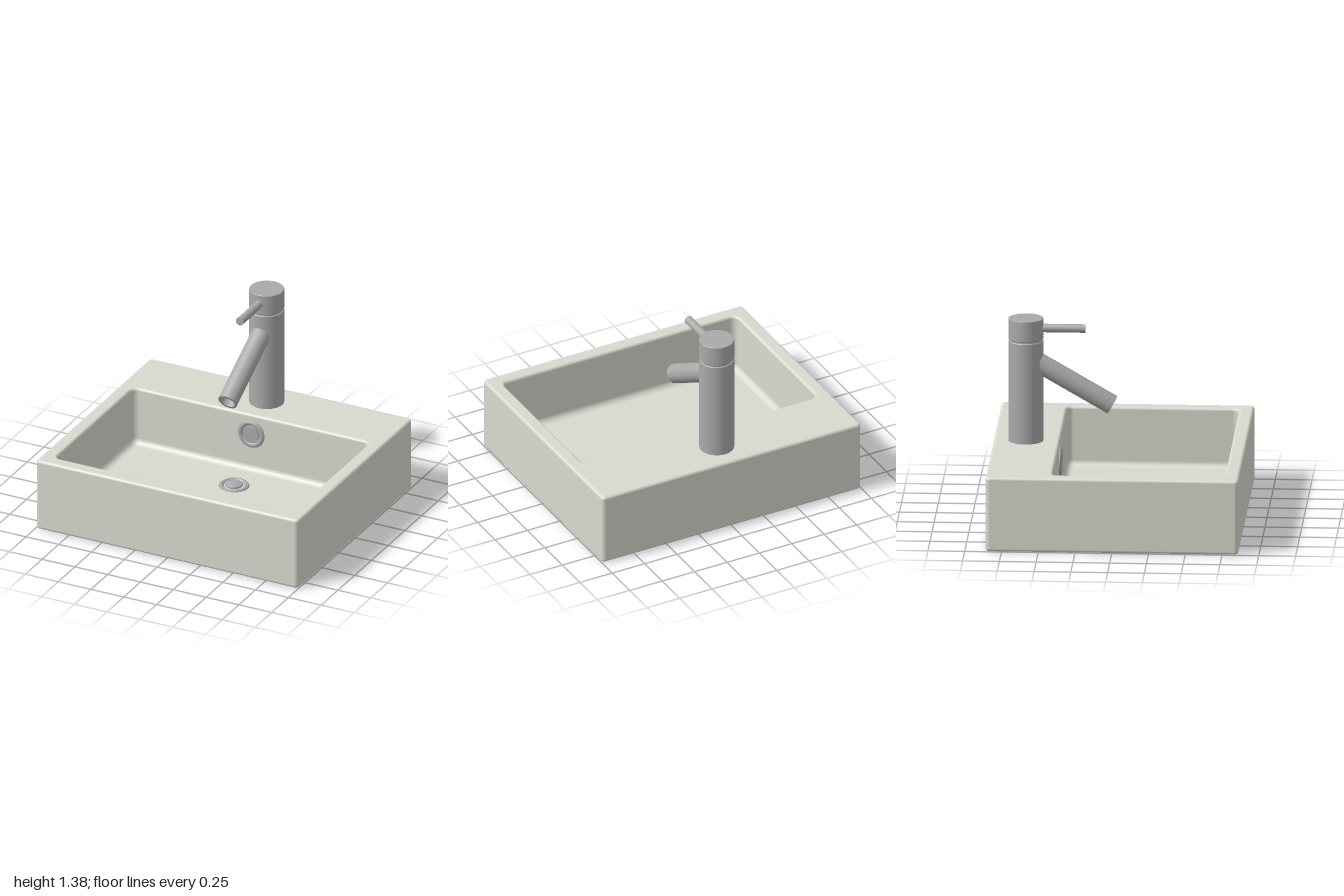
import * as THREE from 'three';

const ceramic = new THREE.MeshStandardMaterial({ color: 0xdad9cf });
const metal = new THREE.MeshStandardMaterial({ color: 0xaaaaaa });

const FLOOR = 0.1, TOP = 0.52, DRAIN_Z = -0.15;
const FAUCET_Z = -0.64;

function add(parent, name, geometry, material, x = 0, y = 0, z = 0) {
  const mesh = new THREE.Mesh(geometry, material);
  mesh.name = name;
  mesh.position.set(x, y, z);
  parent.add(mesh);
  return mesh;
}

// Lathe whose profile corners stay sharp: each straight run is its own strip.
function turned(parent, name, runs, material, x, y, z, segments = 48) {
  const group = new THREE.Group();
  group.name = name;
  group.position.set(x, y, z);
  runs.forEach((run, i) => add(group, `${name}Surface${i + 1}`,
    new THREE.LatheGeometry(run.map(p => new THREE.Vector2(...p)), segments), material));
  parent.add(group);
  return group;
}

// Splits a profile into single straight runs.
const sharp = points => points.slice(1).map((p, i) => [points[i], p]);

// Skin through rounded-rectangle rings, with normals taken from the profile.
function loftRings(rings, steps = 8) {
  const pos = [], nor = [], index = [];
  const n = 4 * (steps + 1);
  for (const { hw, hd, cz, r, y, nr, ny } of rings) {
    for (let q = 0; q < 4; q++) {
      const sx = q === 0 || q === 3 ? 1 : -1, sz = q < 2 ? 1 : -1;
      for (let k = 0; k <= steps; k++) {
        const t = (q + k / steps) * Math.PI / 2, c = Math.cos(t), s = Math.sin(t);
        pos.push(sx * (hw - r) + r * c, y, cz + sz * (hd - r) + r * s);
        nor.push(c * nr, ny, s * nr);
      }
    }
  }
  for (let j = 0; j < rings.length - 1; j++) {
    for (let i = 0; i < n; i++) {
      const a = j * n + i, b = j * n + (i + 1) % n;
      index.push(a, a + n, b, b, a + n, b + n);
    }
  }
  const g = new THREE.BufferGeometry();
  g.setAttribute('position', new THREE.Float32BufferAttribute(pos, 3));
  g.setAttribute('normal', new THREE.Float32BufferAttribute(nor, 3));
  g.setIndex(index);
  return g;
}

function basinGeometry() {
  const outer = { hw: 1, hd: 0.86, cz: 0, r: 0.03 };
  const bowl = { hw: 0.9, hd: 0.585, cz: 0.175, r: 0.045 };
  const hole = { hw: 0.055, hd: 0.055, cz: DRAIN_Z, r: 0.055 };
  // Quarter-round edge: rectangle grown by "grow", swept from angle a0 to a1.
  const edge = (rect, grow, yc, R, a0, a1, sign) => Array.from({ length: 7 }, (_, i) => {
    const a = (a0 + (a1 - a0) * i / 6) * Math.PI / 180;
    const d = grow + R * Math.cos(a);
    return {
      hw: rect.hw + d, hd: rect.hd + d, cz: rect.cz, r: Math.max(rect.r + d, 0.002),
      y: yc + R * Math.sin(a), nr: sign * Math.cos(a), ny: sign * Math.sin(a),
    };
  });
  const R = 0.02, F = 0.045;
  return loftRings([
    { ...hole, y: 0, nr: 0, ny: -1 },
    ...edge(outer, -R, R, R, -90, 0, 1),            // lower outside edge
    ...edge(outer, -R, TOP - R, R, 0, 90, 1),       // upper outside edge
    ...edge(bowl, R, TOP - R, R, 90, 180, 1),       // rim into the bowl
    ...edge(bowl, -F, FLOOR + F, F, 0, -90, -1),    // wall into the floor
    { ...hole, y: FLOOR, nr: 0, ny: 1 },
    { ...hole, y: FLOOR, nr: -1, ny: 0 },           // drain bore
    { ...hole, y: 0, nr: -1, ny: 0 },
  ]);
}

export function createModel() {
  const model = new THREE.Group();
  model.name = 'washbasinWithTap';

  add(model, 'basin', basinGeometry(), ceramic);

  // Drain: flange on the floor, sleeve through the bore, stopper and stem
  const drain = new THREE.Group();
  drain.name = 'drain';
  drain.position.set(0, FLOOR, DRAIN_Z);
  model.add(drain);
  turned(drain, 'drainFlange', sharp([
    [0.052, -0.098], [0.052, -0.001], [0.105, 0], [0.1, 0.01], [0.083, 0.012],
    [0.075, 0.003], [0.045, -0.01], [0.045, -0.098], [0.052, -0.098],
  ]), metal, 0, 0, 0);
  turned(drain, 'drainStopper', [
    [[0, 0.004], [0.06, 0.004]],
    [[0.06, 0.004], [0.06, 0.014]],
    [[0.06, 0.014], [0.054, 0.02], [0.03, 0.023], [0, 0.024]],
  ], metal, 0, 0, 0);
  add(drain, 'stopperStem', new THREE.CylinderGeometry(0.015, 0.015, 0.1, 20), metal, 0, -0.046, 0);

  // Overflow cover on the back wall of the bowl
  const overflow = new THREE.Group();
  overflow.name = 'overflow';
  overflow.position.set(0, 0.375, -0.41);
  overflow.rotation.x = Math.PI / 2;
  model.add(overflow);
  turned(overflow, 'overflowRing', [
    [[0.1, -0.002], [0.1, 0.006]],
    [[0.1, 0.006], [0.095, 0.013], [0.085, 0.016], [0.075, 0.013]],
    [[0.075, 0.013], [0.068, 0.003]],
    [[0.068, 0.003], [0, 0.003]],
  ], metal, 0, 0, 0);
  add(overflow, 'overflowCap', new THREE.CylinderGeometry(0.058, 0.058, 0.012, 40), metal, 0, 0.008, 0);

  // Tap column and turning cap, separated by a narrow groove
  const tap = new THREE.Group();
  tap.name = 'tap';
  tap.position.z = FAUCET_Z;
  model.add(tap);
  turned(tap, 'tapColumn', sharp([
    [0, TOP - 0.005], [0.119, TOP - 0.005], [0.119, 1.22], [0.116, 1.224], [0, 1.224],
  ]), metal, 0, 0, 0, 64);
  add(tap, 'tapNeck', new THREE.CylinderGeometry(0.11, 0.11, 0.02, 48), metal, 0, 1.229, 0);
  turned(tap, 'tapCap', sharp([
    [0, 1.233], [0.116, 1.233], [0.119, 1.237], [0.119, 1.377], [0.116, 1.38], [0, 1.38],
  ]), metal, 0, 0, 0, 64);

  // Lever pointing forward from the cap
  const lever = add(tap, 'lever', new THREE.CylinderGeometry(0.029, 0.029, 0.33, 32), metal, 0, 1.31, 0.24);
  lever.rotation.x = Math.PI / 2;

  // Spout sloping down 30 degrees, hollow at its mouth
  const spout = turned(tap, 'spout', sharp([
    [0, 0], [0.068, 0], [0.068, 0.63], [0.052, 0.63], [0.052, 0.5], [0, 0.5],
  ]), metal, 0, 1.093, 0.0415);
  spout.rotation.x = Math.PI * 2 / 3;

  return model;
}
